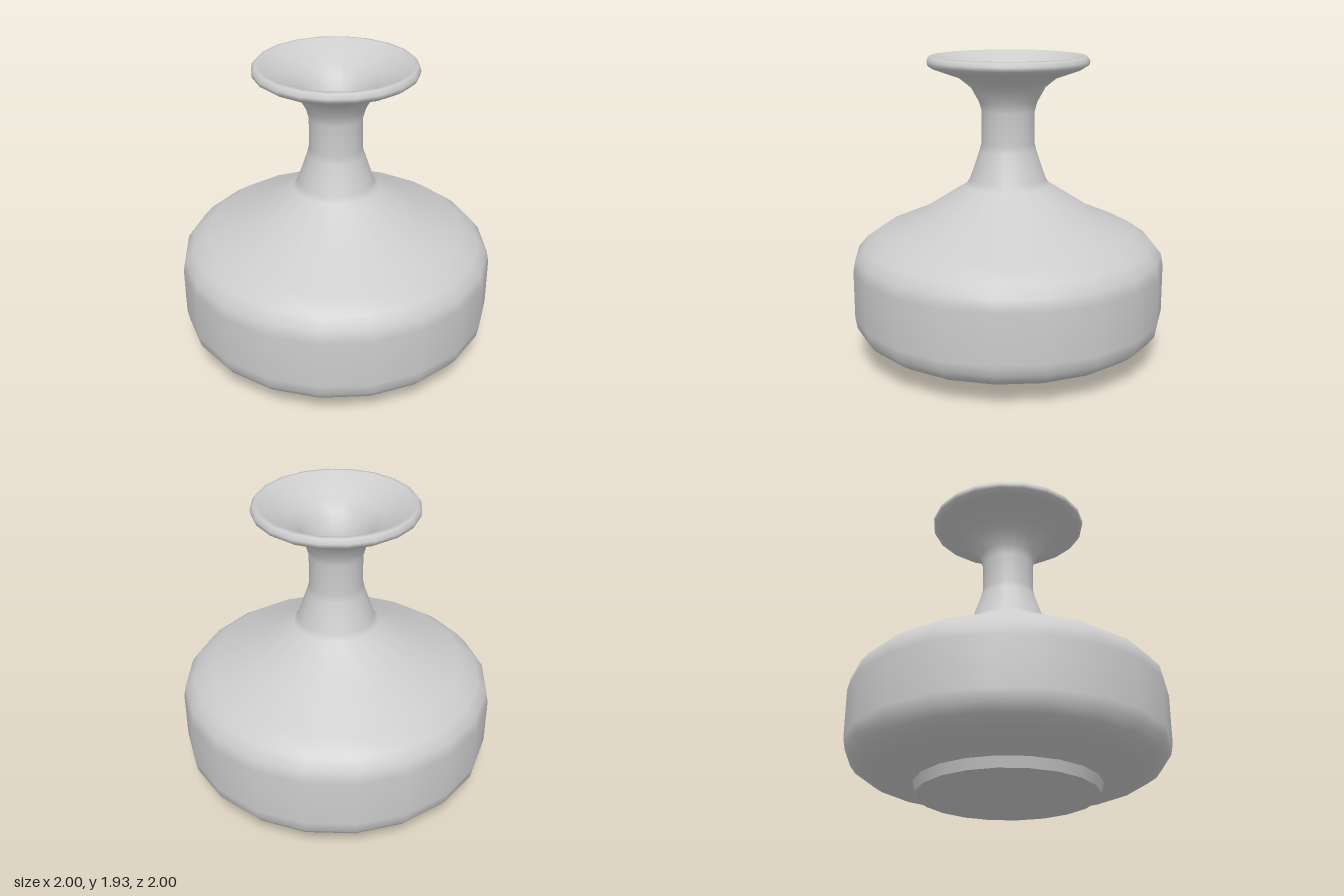
import * as THREE from 'three';

const SEGMENTS = 20;
const material = new THREE.MeshStandardMaterial({ color: 0xcccccc });

// Turn a [radius, height] profile around the vertical axis.
function turned(name, profile) {
  const points = profile.map(([r, y]) => new THREE.Vector2(r, y));
  const mesh = new THREE.Mesh(new THREE.LatheGeometry(points, SEGMENTS), material);
  mesh.name = name;
  return mesh;
}

export function createModel() {
  const vase = new THREE.Group();
  vase.name = 'vase';

  // Flat underside and short flared foot, with a sharp edge between them
  vase.add(turned('base', [[0, 0], [0.56, 0]]));
  vase.add(turned('foot', [[0.56, 0], [0.577, 0.065]]));

  // Outer wall: belly, shoulder, neck, flared lip, then down into the mouth
  vase.add(turned('body', [
    [0.577, 0.065], [0.82, 0.113], [0.89, 0.135], [0.95, 0.175], [0.987, 0.225], [1, 0.295],
    [1, 0.605], [0.985, 0.68], [0.93, 0.748], [0.82, 0.823],
    [0.56, 0.935], [0.27, 1.12], [0.243, 1.155],
    [0.18, 1.34], [0.168, 1.39], [0.168, 1.59], [0.185, 1.65], [0.235, 1.74], [0.31, 1.8],
    [0.47, 1.857], [0.505, 1.88], [0.51, 1.905], [0.492, 1.932], [0.465, 1.935],
    [0.43, 1.9], [0.29, 1.83], [0.215, 1.755], [0.165, 1.66], [0.148, 1.59], [0.148, 1.38],
  ]));

  // Hollow inside of the neck and belly
  vase.add(turned('innerWall', [
    [0.148, 1.38], [0.22, 1.15], [0.54, 0.912], [0.8, 0.8], [0.91, 0.73], [0.96, 0.67],
    [0.975, 0.6], [0.975, 0.3], [0.93, 0.2], [0.82, 0.14], [0.57, 0.09],
  ]));
  vase.add(turned('innerFloor', [[0.57, 0.09], [0, 0.09]]));

  return vase;
}
